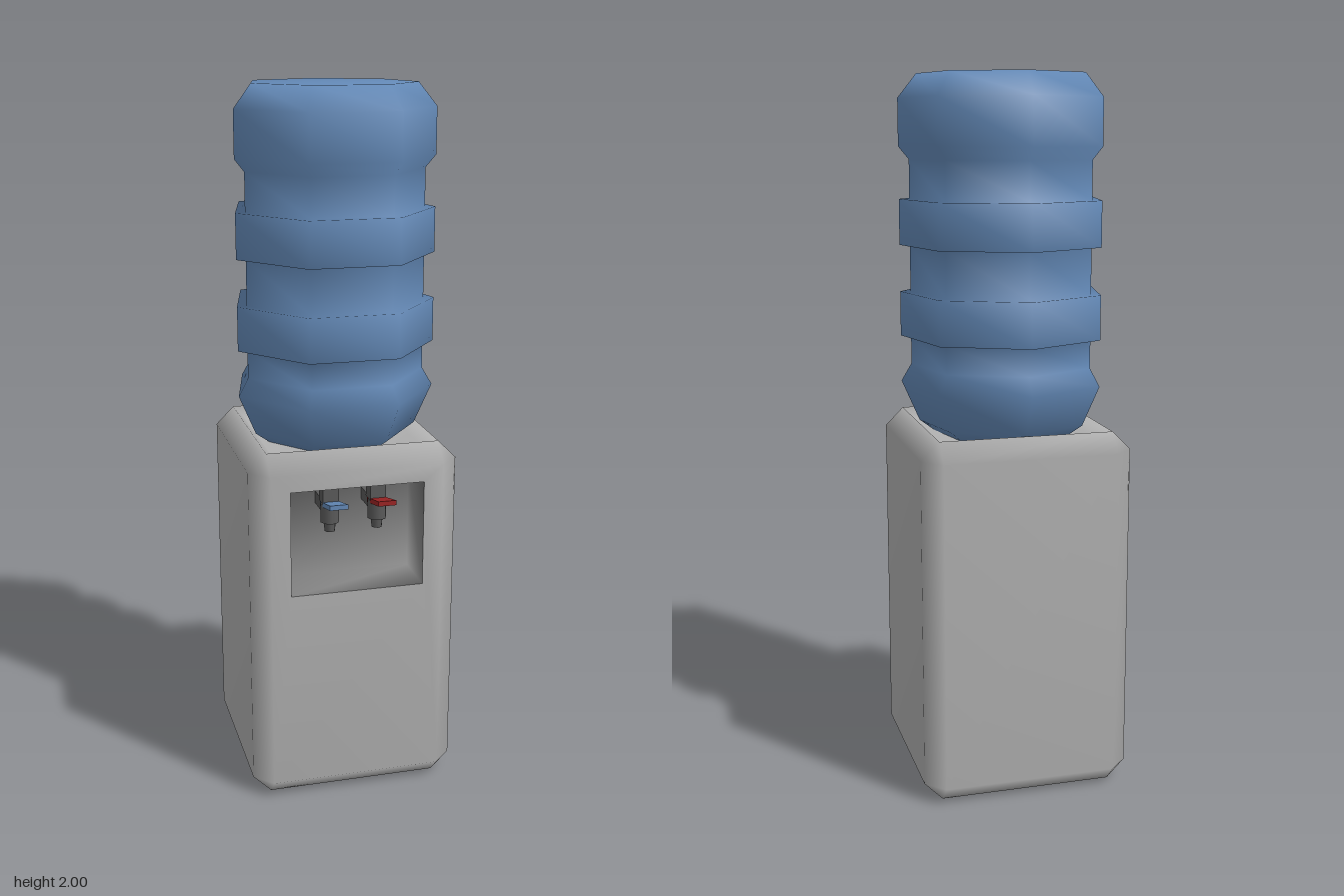
import * as THREE from 'three';
import { mergeVertices } from 'three/addons/utils/BufferGeometryUtils.js';

const mat = (name, color) => {
  const m = new THREE.MeshStandardMaterial({ color });
  m.name = name;
  return m;
};

// Smooth indexed geometry from points and quads
function quadGeometry(points, quads) {
  const g = new THREE.BufferGeometry();
  g.setAttribute('position', new THREE.Float32BufferAttribute(points.flat(), 3));
  g.setIndex(quads.flatMap(([a, b, c, d]) => [a, b, c, a, c, d]));
  const merged = mergeVertices(g, 1e-5);
  merged.computeVertexNormals();
  return merged;
}

const CZ = -0.0275; // centre of the cabinet in z
const H = 0.2975;   // half width of the cabinet
const BEVEL = 0.052;
const HOLE = { x: 0.19, y0: 0.63, y1: 0.935, front: 0.27, back: 0.12 };

// Eight points, two per corner, running anticlockwise seen from above
function ring(half, cut, y) {
  const a = half, b = half - cut;
  return [[-b, a], [b, a], [a, b], [a, -b], [b, -a], [-b, -a], [-a, -b], [-a, b]]
    .map(([x, z]) => [x, y, z + CZ]);
}

// The four corners of the dispensing opening at depth z
const opening = (z) => [
  [-HOLE.x, HOLE.y0, z], [HOLE.x, HOLE.y0, z],
  [HOLE.x, HOLE.y1, z], [-HOLE.x, HOLE.y1, z],
];

function cabinetGeometry() {
  const rings = [
    ring(H - BEVEL, 0, 0),
    ring(H, BEVEL, BEVEL),
    ring(H, BEVEL, 1.035 - BEVEL),
    ring(H - BEVEL, 0, 1.035),
    ring(0.215, 0, 1.005), // shallow seat for the bottle
  ];
  const points = rings.flat();
  const quads = [];
  for (let r = 0; r < rings.length - 1; r++) {
    for (let i = 0; i < 8; i++) {
      if (r === 1 && i === 0) continue; // front panel is added below
      const j = (i + 1) % 8;
      quads.push([r * 8 + i, r * 8 + j, r * 8 + 8 + j, r * 8 + 8 + i]);
    }
  }
  // base and seat floor
  quads.push([5, 4, 2, 0]);
  quads.push([32, 34, 36, 37]);
  // front panel around the opening
  const h = points.length;
  points.push(...opening(HOLE.front));
  const outer = [8, 9, 17, 16];
  for (let i = 0; i < 4; i++) {
    const j = (i + 1) % 4;
    quads.push([outer[i], outer[j], h + j, h + i]);
  }
  return quadGeometry(points, quads);
}

function alcoveGeometry() {
  const points = [...opening(HOLE.front), ...opening(HOLE.back)];
  const quads = [[4, 5, 6, 7]];
  for (let i = 0; i < 4; i++) {
    const j = (i + 1) % 4;
    quads.push([i, j, j + 4, i + 4]);
  }
  return quadGeometry(points, quads);
}

function bottleGeometry() {
  const profile = [
    [0.20, 1.005], [0.241, 1.035], [0.291, 1.15], [0.262, 1.2],
    [0.262, 1.28], [0.291, 1.28], [0.291, 1.405], [0.262, 1.405],
    [0.262, 1.535], [0.291, 1.535], [0.291, 1.662], [0.262, 1.662],
    [0.262, 1.77], [0.291, 1.805], [0.291, 1.935], [0.239, 2.0], [0, 2.0],
  ].map(([r, y]) => new THREE.Vector2(r, y));
  return new THREE.LatheGeometry(profile, 7, Math.PI);
}

// Flat lever, widening and rising towards its front end
function leverGeometry() {
  const g = new THREE.BoxGeometry(0.05, 0.014, 0.13);
  const p = g.attributes.position;
  for (let i = 0; i < p.count; i++) {
    const z = p.getZ(i);
    p.setX(i, p.getX(i) * (0.86 + 1.2 * z + 0.08));
    p.setY(i, p.getY(i) + 0.24 * z);
  }
  g.computeVertexNormals();
  return g;
}

export function createModel() {
  const root = new THREE.Group();
  root.name = 'waterCooler';
  const white = mat('cabinetGrey', 0xb0b0b0);
  const shade = mat('alcoveGrey', 0x808080);
  const dark = mat('tapGrey', 0x5a5a5a);
  const blue = mat('waterBlue', 0x648ab8);
  const red = mat('hotRed', 0x9c2424);

  const add = (parent, name, geometry, material, x = 0, y = 0, z = 0) => {
    const m = new THREE.Mesh(geometry, material);
    m.name = name;
    m.position.set(x, y, z);
    parent.add(m);
    return m;
  };

  add(root, 'cabinet', cabinetGeometry(), white);
  add(root, 'alcove', alcoveGeometry(), shade);
  add(root, 'bottle', bottleGeometry(), blue, 0, 0, -0.0285);

  // Cold tap on the model's right, hot tap on its left
  for (const [name, x, material] of [['coldTap', -0.068, blue], ['hotTap', 0.068, red]]) {
    const tap = new THREE.Group();
    tap.name = name;
    tap.position.x = x;
    root.add(tap);
    add(tap, 'arm', new THREE.BoxGeometry(0.036, 0.036, 0.1), dark, 0, 0.865, 0.17);
    add(tap, 'valve', new THREE.CylinderGeometry(0.027, 0.027, 0.055, 8), dark, 0, 0.852, 0.22);
    add(tap, 'cap', new THREE.BoxGeometry(0.046, 0.05, 0.046), dark, 0, 0.905, 0.21);
    add(tap, 'nozzle', new THREE.CylinderGeometry(0.018, 0.015, 0.035, 8), dark, 0, 0.815, 0.22);
    add(tap, 'lever', leverGeometry(), material, 0, 0.885, 0.258);
  }
  return root;
}
